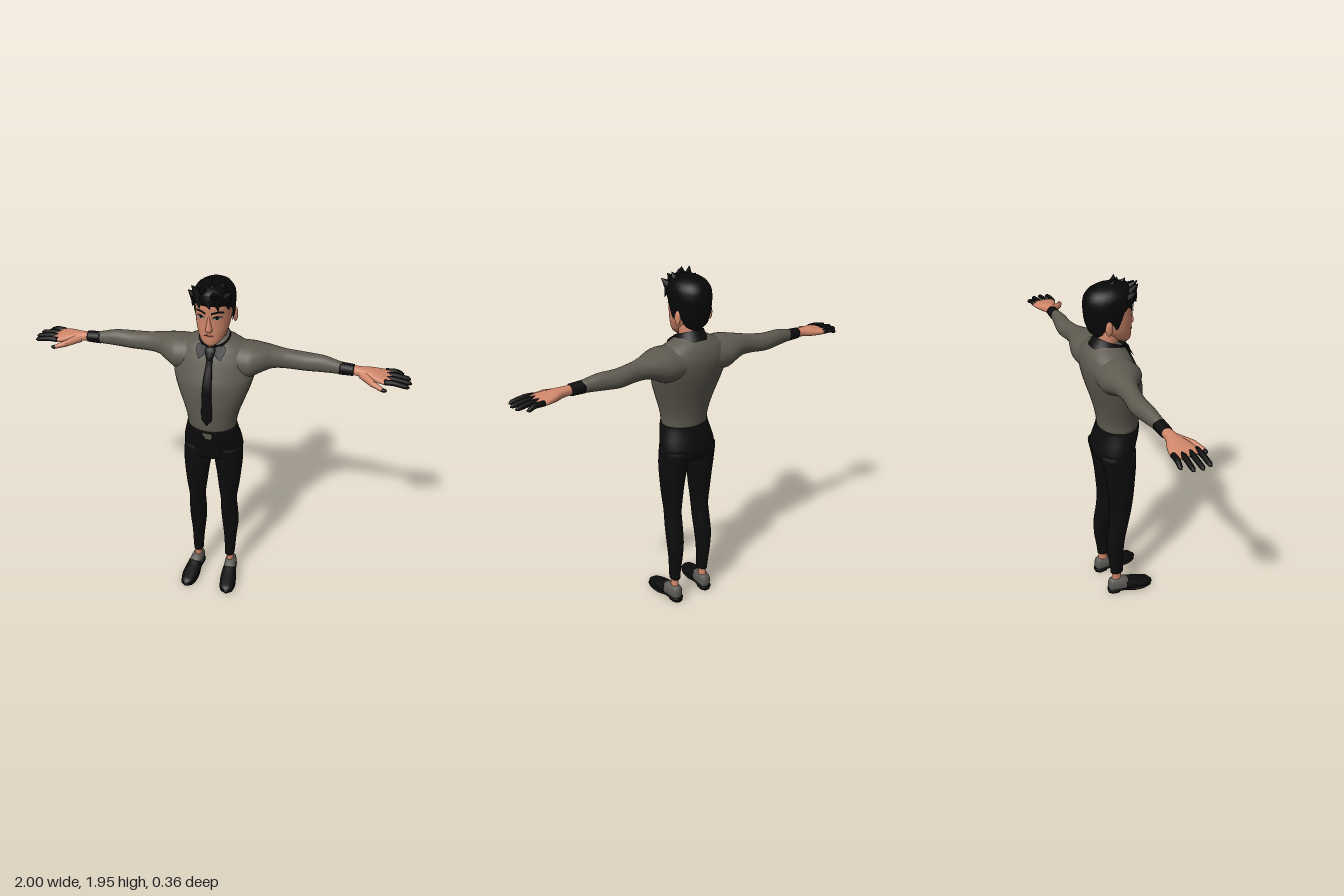
import * as THREE from 'three';

const mat = (name, color, side = THREE.FrontSide) => {
  const m = new THREE.MeshStandardMaterial({ color, side });
  m.name = name;
  return m;
};

// Symmetric cross-section: height, half width, front z, back z
const S = (y, r, f, b) => [y, -r, r, b, f];

// Smooth station lookup between index i and i + 1
function blend(st, i, f) {
  const p = k => st[Math.min(Math.max(k, 0), st.length - 1)];
  return st[0].map((_, c) => {
    const [p0, p1, p2, p3] = [p(i - 1)[c], p(i)[c], p(i + 1)[c], p(i + 2)[c]];
    if (c === 0) return p1 + (p2 - p1) * f;
    return 0.5 * (2 * p1 + (p2 - p0) * f + (2 * p0 - 5 * p1 + 4 * p2 - p3) * f * f + (3 * p1 - p0 - 3 * p2 + p3) * f ** 3);
  });
}

// Linear station lookup by ascending position
function sample(st, t) {
  let i = 0;
  while (i < st.length - 2 && st[i + 1][0] < t) i++;
  const f = Math.min(Math.max((t - st[i][0]) / (st[i + 1][0] - st[i][0]), 0), 1);
  return st[i].map((v, c) => v + (st[i + 1][c] - v) * f);
}

// Closed skin over rings; axis x uses (y, z), y uses (x, z), z uses (x, y)
function skin(axis, rings, seg, caps) {
  const pos = [], idx = [];
  const put = (t, a, b) => pos.push(...(axis === 'x' ? [t, a, b] : axis === 'y' ? [a, t, b] : [a, b, t]));
  rings.forEach(r => r.forEach(p => put(...p)));
  const tri = (a, b, c) => (axis === 'y' ? idx.push(a, c, b) : idx.push(a, b, c));
  const n = rings.length;
  for (let i = 0; i < n - 1; i++) for (let j = 0; j < seg; j++) {
    const k = (j + 1) % seg, a = i * seg + j, b = i * seg + k;
    tri(a, b, a + seg); tri(b, b + seg, a + seg);
  }
  if (caps) [0, n - 1].forEach(i => {
    const c = pos.length / 3;
    put(...[0, 1, 2].map(d => rings[i].reduce((s, p) => s + p[d], 0) / seg));
    for (let j = 0; j < seg; j++) {
      const a = i * seg + j, b = i * seg + (j + 1) % seg;
      if (i) tri(a, b, c); else tri(b, a, c);
    }
  });
  const g = new THREE.BufferGeometry();
  g.setAttribute('position', new THREE.Float32BufferAttribute(pos, 3));
  g.setIndex(idx);
  g.computeVertexNormals();
  return g;
}

function loft(axis, st, { seg = 28, e = 1, caps = true, steps = 4 } = {}) {
  const rings = [], bend = v => Math.sign(v) * Math.abs(v) ** e;
  for (let i = 0; i < (st.length - 1) * steps + 1; i++) {
    const k = Math.min(Math.floor(i / steps), st.length - 2);
    const [t, a0, a1, b0, b1] = blend(st, k, i / steps - k);
    rings.push(Array.from({ length: seg }, (_, j) => {
      const q = j / seg * Math.PI * 2;
      return [t, (a0 + a1) / 2 + (a1 - a0) / 2 * bend(Math.cos(q)), (b0 + b1) / 2 + (b1 - b0) / 2 * bend(Math.sin(q))];
    }));
  }
  return skin(axis, rings, seg, caps);
}

// Thin outline laid onto the front of a lofted body
function patch(points, st, off) {
  const g = new THREE.ShapeGeometry(new THREE.Shape(points.map(p => new THREE.Vector2(...p))));
  const p = g.attributes.position;
  for (let i = 0; i < p.count; i++) {
    const [, , r, b, f] = sample(st, p.getY(i));
    p.setZ(i, (f + b) / 2 + (f - b) / 2 * Math.sqrt(Math.max(0, 1 - (p.getX(i) / r) ** 2)) + off);
  }
  g.computeVertexNormals();
  return g;
}

const oval = (x, y, rx, ry) => Array.from({ length: 14 }, (_, i) => [x + rx * Math.cos(i * Math.PI / 7), y + ry * Math.sin(i * Math.PI / 7)]);

// Tapered rod between two points
function rod(p, q, r0, r1) {
  const a = new THREE.Vector3(...p), d = new THREE.Vector3(...q).sub(a);
  const g = new THREE.CylinderGeometry(r1, r0, d.length(), 10).translate(0, d.length() / 2, 0);
  g.applyQuaternion(new THREE.Quaternion().setFromUnitVectors(new THREE.Vector3(0, 1, 0), d.normalize()));
  return g.translate(...p);
}

const ball = (x, y, z, rx, ry, rz) => new THREE.SphereGeometry(1, 16, 12).scale(rx, ry, rz).translate(x, y, z);

export function createModel() {
  const model = new THREE.Group();
  model.name = 'man';
  const D = THREE.DoubleSide;
  const shirt = mat('shirt grey', 0x5e5a50), black = mat('cloth black', 0x0c0c0c, D), flesh = mat('skin', 0xd0876a);
  const hairMat = mat('hair black', 0x070707, D), saddle = mat('shoe grey', 0x5c5a55), eyeMat = mat('eye grey', 0x8b9799, D);
  const lipMat = mat('lip', 0xa9624f, D);
  const add = (name, geo, m) => {
    const mesh = new THREE.Mesh(geo, m);
    mesh.name = name;
    model.add(mesh);
    return mesh;
  };
  const both = (name, geo, m) => {
    add('left ' + name, geo, m);
    const g = geo.clone().scale(-1, 1, 1), ix = g.index.array;
    for (let i = 0; i < ix.length; i += 3) [ix[i], ix[i + 2]] = [ix[i + 2], ix[i]];
    add('right ' + name, g, m);
  };

  // Shirt
  const torso = [S(1.1, .125, .1, -.095), S(1.14, .132, .118, -.1), S(1.2, .14, .125, -.107), S(1.3, .172, .13, -.13),
    S(1.4, .205, .125, -.16), S(1.47, .218, .1, -.176), S(1.53, .218, .075, -.18), S(1.58, .18, .05, -.167),
    S(1.61, .125, .025, -.148), S(1.64, .07, .0, -.12)];
  add('shirt body', loft('y', torso, { seg: 40 }), shirt);
  both('sleeve', loft('x', [[.08, 1.6, 1.42, -.165, .04], [.19, 1.602, 1.42, -.168, .055], [.25, 1.594, 1.45, -.155, .025],
    [.3, 1.585, 1.468, -.14, -.015], [.36, 1.573, 1.47, -.132, -.038], [.46, 1.562, 1.465, -.14, -.048],
    [.56, 1.56, 1.472, -.125, -.05], [.65, 1.542, 1.478, -.108, -.05]].map(([x, t, b, z0, z1]) => [x, b, t, z0, z1])), shirt);
  both('cuff', loft('x', [[.64, 1.476, 1.542, -.11, -.047], [.675, 1.477, 1.54, -.109, -.047], [.71, 1.478, 1.538, -.108, -.047]]), black);

  // Collar and tie
  const collar = loft('y', [S(-.03, .097, .1, -.095), S(0, .086, .09, -.088), S(.03, .078, .08, -.082)], { caps: false });
  add('collar', collar.rotateX(.38).translate(0, 1.615, -.043), black);
  both('collar tip', patch([[.008, 1.6], [.03, 1.57], [.056, 1.548], [.078, 1.59], [.07, 1.61], [.04, 1.612]], torso, .018), black);
  add('tie', loft('y', [S(1.185, .003, .136, .12), S(1.22, .027, .138, .12), S(1.3, .028, .142, .12), S(1.4, .025, .138, .115),
    S(1.47, .021, .115, .09), S(1.545, .015, .083, .055), S(1.555, .017, .083, .05), S(1.59, .027, .069, .03), S(1.61, .022, .055, .01)],
    { seg: 12, e: .7 }), black);

  // Trousers
  const hips = [S(.905, .07, .045, -.06), S(.93, .15, .077, -.105), S(.96, .163, .085, -.126), S(1, .164, .093, -.135),
    S(1.05, .156, .106, -.125), S(1.1, .144, .12, -.111), S(1.135, .136, .124, -.104)];
  add('hips', loft('y', hips, { seg: 36 }), black);
  both('trouser leg', loft('y', [[.15, .068, .127, -.076, .002], [.2, .067, .13, -.08, .002], [.3, .06, .136, -.094, .004],
    [.4, .05, .145, -.096, .012], [.5, .046, .144, -.082, .032], [.6, .048, .138, -.075, .054], [.7, .036, .15, -.08, .064],
    [.8, .024, .16, -.089, .07], [.9, .009, .166, -.105, .077], [1, .01, .16, -.125, .08]]), black);
  add('shirt tail', patch([[-.03, 1.13], [-.015, 1.1], [-.01, 1.088], [.02, 1.088], [.026, 1.12], [.022, 1.13]], hips, .006),
    mat('shirt tail grey', 0x5e5a50, D));

  // Ankles and shoes
  both('ankle', loft('y', [[.07, .078, .124, -.07, -.008], [.12, .081, .12, -.067, -.012], [.18, .078, .122, -.067, -.01]]), flesh);
  const foot = g => g.rotateY(.1).translate(.104, 0, -.04);
  const half = (z, r, y0, y1) => [z, -r, r, y0, y1];
  both('shoe upper', foot(loft('z', [half(-.05, .016, .03, .085), half(-.037, .03, .012, .102), half(0, .035, .01, .106),
    half(.04, .037, .01, .1), half(.085, .04, .01, .077)], { e: .85 })), saddle);
  both('shoe toe', foot(loft('z', [half(.055, .041, .01, .088), half(.1, .045, .01, .074), half(.15, .046, .006, .06),
    half(.2, .034, .006, .046), half(.222, .01, .012, .03)], { e: .85 })), black);
  both('sole', foot(loft('z', [half(-.054, .016, .01, .03), half(-.04, .034, .01, .03), half(.04, .037, .012, .028),
    half(.1, .046, .001, .02), half(.16, .047, 0, .02), half(.205, .034, .004, .022), half(.224, .01, .01, .024)], { e: .6 })), black);
  both('heel', foot(loft('z', [half(-.052, .018, 0, .025), half(-.035, .034, 0, .025), half(.01, .035, 0, .025)], { e: .6 })), black);

  // Hands
  both('hand', loft('x', [[.69, 1.486, 1.531, -.102, -.054], [.75, 1.482, 1.53, -.105, -.045], [.8, 1.477, 1.526, -.125, -.026],
    [.85, 1.477, 1.517, -.138, -.006], [.885, 1.481, 1.51, -.138, -.003], [.9, 1.49, 1.504, -.125, -.015]], { e: .85 }), flesh);
  [[-.127, -.135, .957], [-.09, -.094, .993], [-.052, -.052, 1], [-.014, -.011, .99]].forEach(([z0, z1, end], i) => {
    const f = (x, y, z, r) => [x, y - r, y + r, z - r, z + r];
    both('finger ' + (i + 1), loft('x', [f(.865, 1.498, z0, .014), f(.915, 1.499, (z0 + z1) / 2, .0135),
      f(end - .012, 1.489, z1, .0115), f(end, 1.486, z1, .004)], { seg: 12 }), black);
  });
  both('thumb base', rod([.755, 1.5, -.06], [.815, 1.489, .005], .024, .016), flesh);
  both('thumb', rod([.81, 1.49, .001], [.862, 1.478, .028], .016, .011), flesh);
  both('thumb tip', ball(.87, 1.476, .029, .015, .01, .01), black);

  // Head
  add('neck', rod([0, 1.56, -.06], [0, 1.72, -.04], .064, .06), flesh);
  const head = [S(1.617, .018, .064, .03), S(1.635, .043, .076, -.005), S(1.66, .063, .08, -.05), S(1.7, .079, .081, -.09),
    S(1.75, .089, .081, -.12), S(1.8, .093, .085, -.14), S(1.85, .092, .085, -.14), S(1.89, .075, .06, -.115), S(1.915, .03, .02, -.07)];
  add('head', loft('y', head, { seg: 36 }), flesh);
  add('nose', loft('y', [S(1.705, .012, .088, .06), S(1.717, .018, .1, .06), S(1.745, .012, .094, .06), S(1.79, .008, .085, .06)], { seg: 14 }), flesh);
  both('ear', ball(.098, 1.742, -.077, .011, .038, .02).rotateX(0), flesh);
  both('eyebrow', patch([[.014, 1.803], [.04, 1.811], [.072, 1.802], [.068, 1.814], [.045, 1.822], [.015, 1.815]], head, .006), hairMat);
  both('eye', patch(oval(.041, 1.783, .019, .009), head, .003), eyeMat);
  both('iris', patch(oval(.041, 1.784, .008, .008), head, .005), hairMat);
  both('eyelash', patch([[.018, 1.784], [.04, 1.79], [.066, 1.784], [.06, 1.792], [.04, 1.798], [.024, 1.793]], head, .006), hairMat);
  add('lips', patch(oval(0, 1.687, .027, .01), head, .003), lipMat);
  add('mouth line', patch([[-.03, 1.686], [0, 1.686], [.03, 1.686], [.012, 1.691], [0, 1.689], [-.012, 1.691]], head, .005), hairMat);

  // Hair cap with a hairline that drops from the forehead to the nape
  const hair = [S(1.66, .062, .05, -.1), S(1.7, .087, .075, -.145), S(1.76, .1, .087, -.165), S(1.84, .105, .094, -.172),
    S(1.88, .102, .098, -.164), S(1.91, .084, .09, -.142), S(1.928, .058, .06, -.105), S(1.936, .03, .02, -.07), S(1.94, .002, -.03, -.035)];
  const line = [[-1, 1.67], [-.6, 1.7], [-.42, 1.74], [-.32, 1.775], [-.15, 1.765], [.0, 1.725], [.15, 1.74], [.3, 1.81], [.6, 1.84], [1, 1.85]];
  const rows = 16, seg = 56;
  const cap = Array.from({ length: rows + 1 }, (_, i) => Array.from({ length: seg }, (_, j) => {
    const q = j / seg * Math.PI * 2, low = sample(line, Math.sin(q))[1];
    const y = low + (1.94 - low) * Math.sin(i / rows * Math.PI / 2);
    const [, , r, b, f] = sample(hair, y);
    return [y, r * Math.cos(q), (f + b) / 2 + (f - b) / 2 * Math.sin(q)];
  }));
  add('hair cap', skin('y', cap, seg, false), hairMat);

  // Tousled locks: root, tip, root radius
  [[[-.075, 1.87, .04], [-.108, 1.91, .06], .03], [[-.05, 1.88, .05], [-.085, 1.945, .08], .035],
    [[-.02, 1.89, .05], [-.045, 1.945, .095], .035], [[.02, 1.89, .03], [.0, 1.95, .05], .04],
    [[.04, 1.89, .0], [.065, 1.948, .02], .04], [[.065, 1.87, .03], [.105, 1.915, .055], .035],
    [[.0, 1.89, -.04], [-.02, 1.948, -.015], .05], [[-.06, 1.885, .06], [-.045, 1.835, .092], .028],
    [[-.02, 1.885, .07], [.01, 1.84, .103], .03], [[.03, 1.885, .065], [.05, 1.83, .09], .03],
    [[.075, 1.87, .03], [.092, 1.82, .045], .026], [[-.078, 1.87, .03], [-.093, 1.82, .045], .026],
    [[.02, 1.885, .06], [.03, 1.915, .113], .035]]
    .forEach(([p, q, r], i) => add('hair lock ' + (i + 1), rod(p, q, r, .001), hairMat));
  return model;
}
